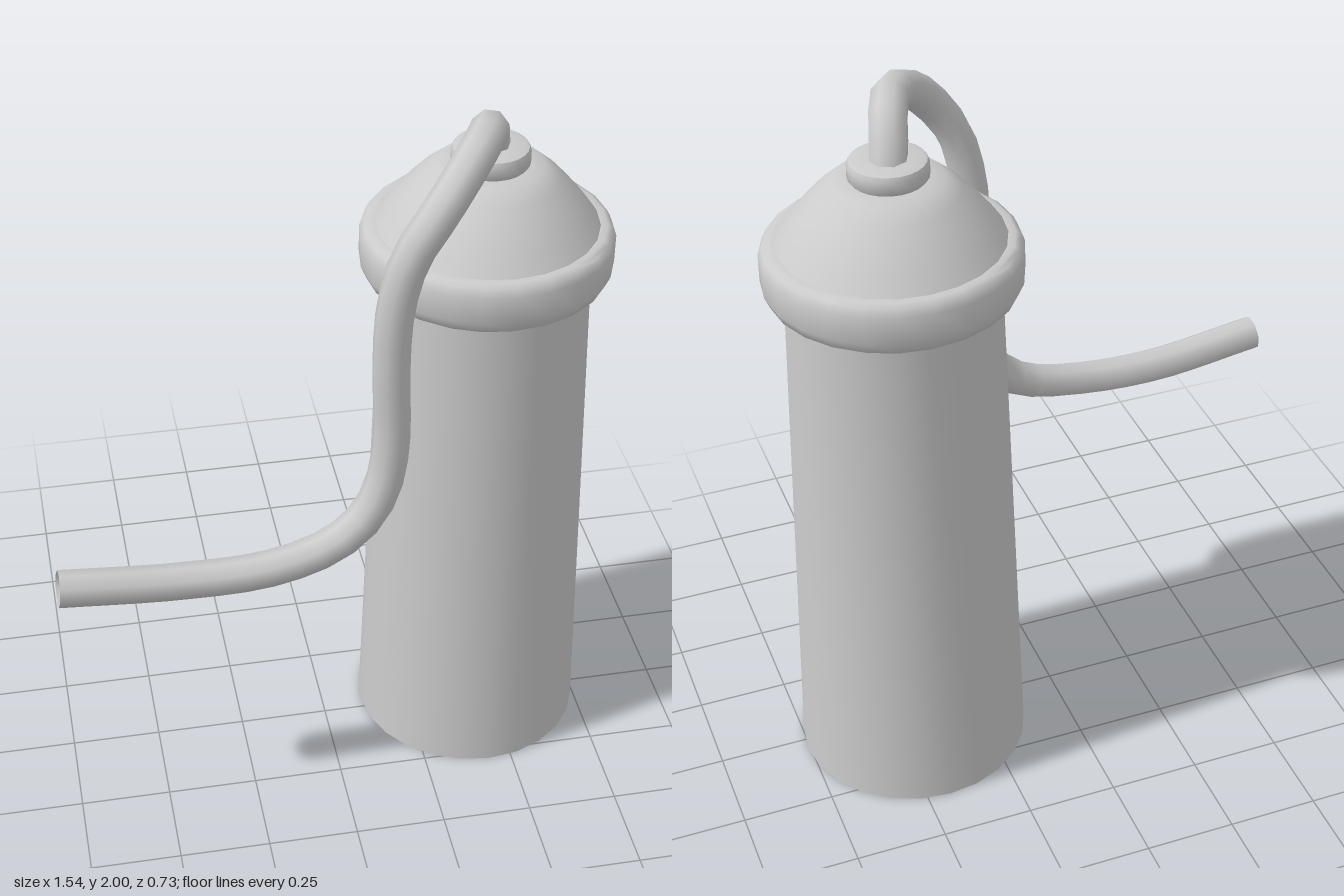
import * as THREE from 'three';
import { toCreasedNormals } from 'three/addons/utils/BufferGeometryUtils.js';

const AXIS_X = 0.437, AXIS_Z = -0.037;

export function createModel() {
  const model = new THREE.Group();
  model.name = 'canisterWithHose';
  const material = new THREE.MeshStandardMaterial({ color: 0xcccccc, side: THREE.DoubleSide });

  const add = (name, geometry) => {
    const mesh = new THREE.Mesh(geometry, material);
    mesh.name = name;
    model.add(mesh);
    return mesh;
  };

  // Turned parts share one vertical axis; profiles are [radius, height], bottom to top
  const turned = (name, profile) => {
    const points = profile.map(([r, y]) => new THREE.Vector2(r, y));
    const lathe = new THREE.LatheGeometry(points, 24);
    add(name, toCreasedNormals(lathe, 0.75)).position.set(AXIS_X, 0, AXIS_Z);
  };

  // Tapered body, open underneath
  turned('body', [[0.32, 0], [0.278, 1.48]]);

  // Rounded collar
  turned('collar', [
    [0.272, 1.47], [0.29, 1.473], [0.322, 1.495], [0.335, 1.525],
    [0.335, 1.6], [0.325, 1.622], [0.312, 1.63], [0.29, 1.63],
  ]);

  // Domed shoulder with a flat top
  turned('shoulder', [
    [0.293, 1.63], [0.264, 1.672], [0.226, 1.717],
    [0.183, 1.764], [0.14, 1.8], [0.09, 1.8],
  ]);

  // Nozzle ring around the hose
  turned('nozzleRing', [
    [0.095, 1.798], [0.103, 1.808], [0.103, 1.84],
    [0.098, 1.851], [0.086, 1.855], [0.03, 1.855],
  ]);

  // Hose: up out of the nozzle, over the shoulder, down the side and out to the right
  const path = new THREE.CatmullRomCurve3([
    [0.44, 1.83, -0.045],
    [0.427, 1.905, -0.02],
    [0.393, 1.948, 0.08],
    [0.33, 1.925, 0.175],
    [0.24, 1.84, 0.25],
    [0.165, 1.725, 0.263],
    [0.13, 1.58, 0.262],
    [0.122, 1.4, 0.263],
    [0.126, 1.2, 0.266],
    [0.108, 1.06, 0.272],
    [0.06, 0.955, 0.28],
    [-0.03, 0.88, 0.291],
    [-0.2, 0.833, 0.304],
    [-0.44, 0.823, 0.302],
    [-0.765, 0.855, 0.314],
  ].map((p) => new THREE.Vector3(...p)));
  add('hose', new THREE.TubeGeometry(path, 32, 0.05, 8, false));

  return model;
}
